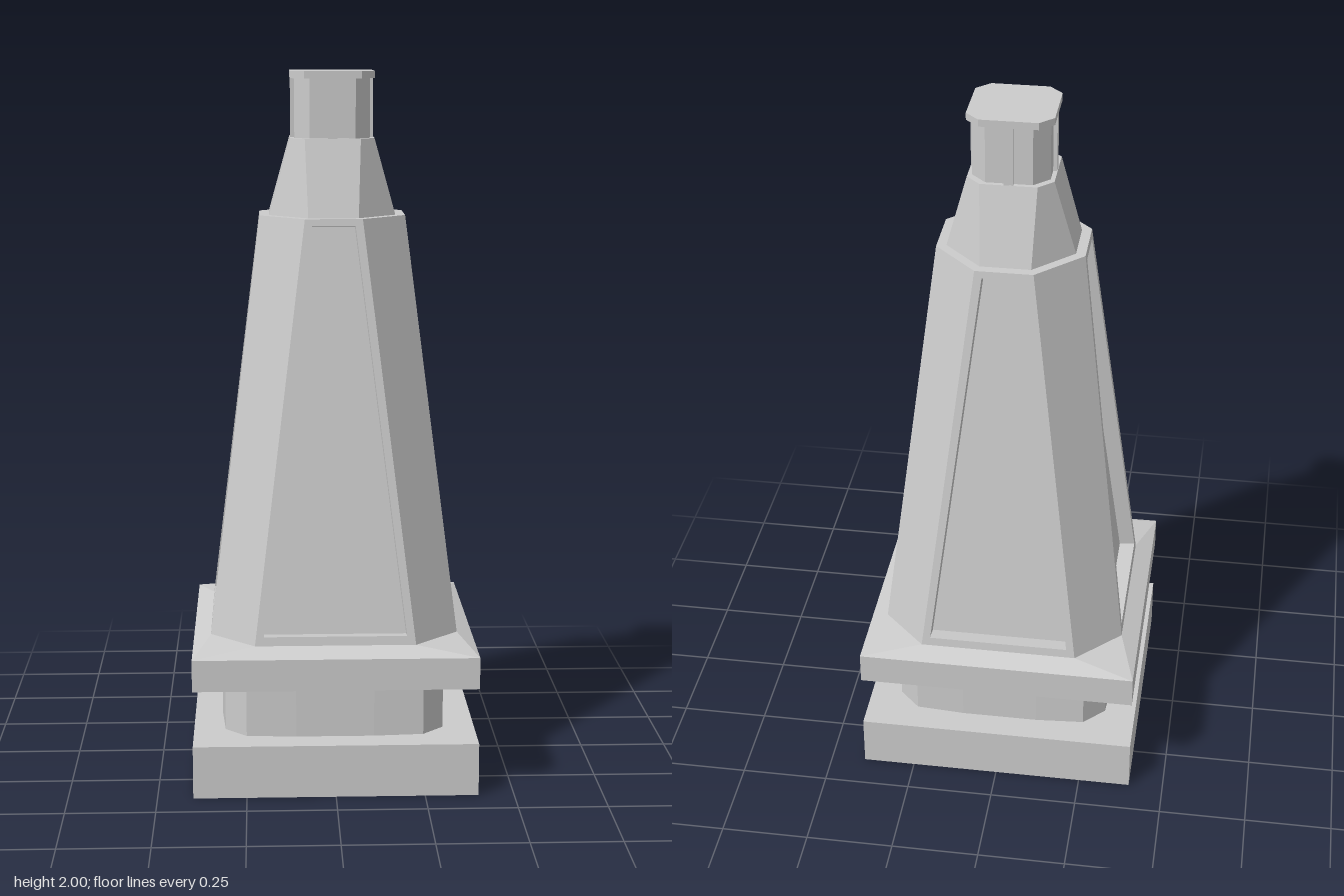
import * as THREE from 'three';

const material = new THREE.MeshStandardMaterial({ color: 0xcccccc, flatShading: true });

// Flat faceted geometry from quads of [x, y, z] corners (collapsed triangles are dropped)
function quadGeometry(quads) {
  const pos = [];
  const same = (p, q) => p.every((v, k) => Math.abs(v - q[k]) < 1e-6);
  for (const [a, b, c, d] of quads) {
    for (const [p, q, r] of [[a, b, c], [a, c, d]]) {
      if (!same(p, q) && !same(q, r) && !same(p, r)) pos.push(...p, ...q, ...r);
    }
  }
  const g = new THREE.BufferGeometry();
  g.setAttribute('position', new THREE.Float32BufferAttribute(pos, 3));
  g.computeVertexNormals();
  return g;
}

// Closed ring from one quarter outline of [x, z], turned four times
function ring(y, quarter) {
  const points = [];
  for (let i = 0; i < 4; i++) {
    points.push(...quarter.map(([x, z]) => [x, y, z]));
    quarter = quarter.map(([x, z]) => [z, -x]);
  }
  return points;
}

// Chamfered square: h = half width, a = half length of each straight side
const octagon = (y, h, a) => ring(y, [[-a, h], [a, h]]);

// Solid through a stack of rings, closed at both ends
function loft(rings) {
  const quads = [];
  const n = rings[0].length;
  const first = rings[0], last = rings[rings.length - 1];
  for (let i = 0; i < n; i++) {
    const j = (i + 1) % n;
    for (let k = 0; k + 1 < rings.length; k++) {
      quads.push([rings[k][i], rings[k][j], rings[k + 1][j], rings[k + 1][i]]);
    }
    const bottom = [0, first[0][1], 0], top = [0, last[0][1], 0];
    quads.push([bottom, first[j], first[i], first[i]], [top, last[i], last[j], last[j]]);
  }
  return quadGeometry(quads);
}

export function createModel() {
  const model = new THREE.Group();
  const add = (name, geometry, parent = model) => {
    const mesh = new THREE.Mesh(geometry, material);
    mesh.name = name;
    parent.add(mesh);
    return mesh;
  };

  // Pedestal: square plinth, rounded neck, slab with bevelled top
  add('plinth', new THREE.BoxGeometry(0.8, 0.15, 0.8).translate(0, 0.075, 0));
  const neck = [[-0.25, 0.31], [-0.11, 0.32], [0.11, 0.32], [0.25, 0.31]];
  add('neck', loft([ring(0.15, neck), ring(0.31, neck)]));
  add('slab', loft([octagon(0.31, 0.4, 0.4), octagon(0.4, 0.4, 0.4), octagon(0.425, 0.35, 0.225)]));

  // Tapered tower: four sides with recessed panels, four plain chamfers
  const y0 = 0.425, y1 = 1.6, h0 = 0.35, h1 = 0.205, a0 = 0.225, a1 = 0.08;
  const slope = (h0 - h1) / (y1 - y0);
  const faceZ = (y) => h0 - slope * (y - y0);
  const trapezoid = (yb, wb, yt, wt) =>
    [[-wb, yb], [wb, yb], [wt, yt], [-wt, yt]].map(([x, y]) => [x, y, faceZ(y)]);
  const outer = trapezoid(y0, a0, y1, a1);
  const opening = trapezoid(0.45, 0.2, 1.58, 0.06);
  const depth = 0.045;
  const back = opening.map(([x, y, z]) => [x, y - depth * slope, z - depth]);
  const sideQuads = [back];
  for (let i = 0; i < 4; i++) {
    const j = (i + 1) % 4;
    sideQuads.push([outer[i], outer[j], opening[j], opening[i]]);
    sideQuads.push([opening[i], opening[j], back[j], back[i]]);
  }
  const side = quadGeometry(sideQuads);
  const chamfer = quadGeometry([[[a0, y0, h0], [h0, y0, a0], [h1, y1, a1], [a1, y1, h1]]]);
  const tower = new THREE.Group();
  tower.name = 'tower';
  model.add(tower);
  for (let i = 0; i < 4; i++) {
    add('panelledSide', side, tower).rotation.y = (i * Math.PI) / 2;
    add('chamferedCorner', chamfer, tower).rotation.y = (i * Math.PI) / 2;
  }
  add('towerTop', loft([octagon(1.595, h1, a1), octagon(y1, h1, a1)]), tower);

  // Upper taper
  add('upperTaper', loft([octagon(1.6, 0.178, 0.07), octagon(1.815, 0.118, 0.078)]));

  // Lantern: core, a central bar on each side, overhanging cap
  const lantern = new THREE.Group();
  lantern.name = 'lantern';
  model.add(lantern);
  add('lanternCore', loft([octagon(1.815, 0.106, 0.064), octagon(1.985, 0.106, 0.064)]), lantern);
  const bar = new THREE.BoxGeometry(0.026, 0.17, 0.02).translate(0, 1.9, 0.107);
  for (let i = 0; i < 4; i++) {
    add('lanternBar', bar, lantern).rotation.y = (i * Math.PI) / 2;
  }
  add('lanternCap', loft([octagon(1.98, 0.118, 0.08), octagon(2, 0.118, 0.08)]), lantern);

  return model;
}
